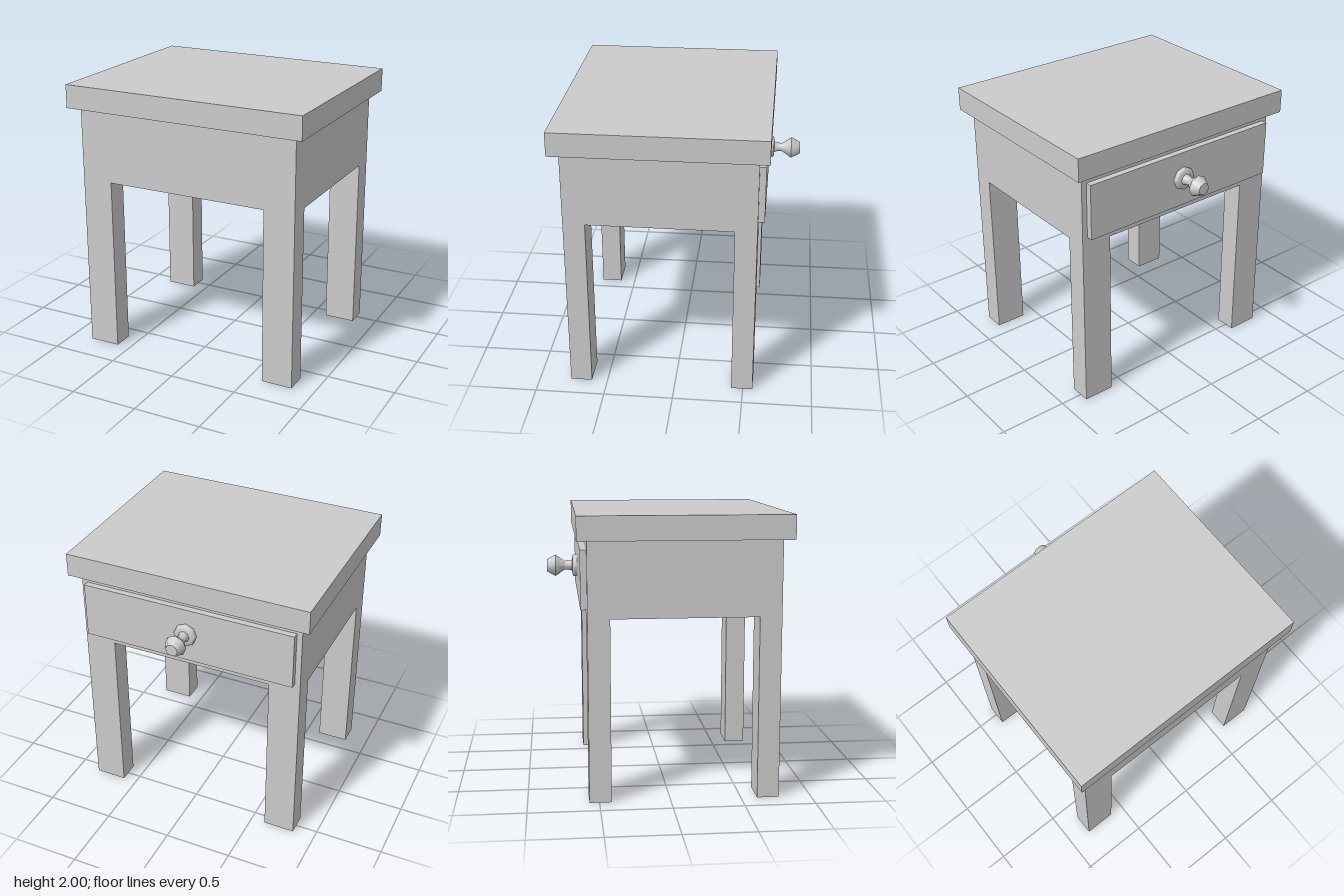
import * as THREE from 'three';
import { toCreasedNormals } from 'three/addons/utils/BufferGeometryUtils.js';

export function createModel() {
  const group = new THREE.Group();
  const material = new THREE.MeshStandardMaterial({ color: 0xcccccc });

  const add = (name, geometry) => {
    const mesh = new THREE.Mesh(geometry, material);
    mesh.name = name;
    group.add(mesh);
    return mesh;
  };
  // Box given by its lower and upper limits on each axis
  const box = (name, [x0, x1], [y0, y1], [z0, z1]) =>
    add(name, new THREE.BoxGeometry(x1 - x0, y1 - y0, z1 - z0))
      .position.set((x0 + x1) / 2, (y0 + y1) / 2, (z0 + z1) / 2);

  // Overhanging top and the case under it
  box('tableTop', [-0.905, 0.905], [1.83, 2], [-0.64, 0.84]);
  box('case', [-0.835, 0.835], [1.295, 1.83], [-0.57, 0.77]);

  // Four legs flush with the corners of the case
  for (const side of [-1, 1]) {
    const x = side < 0 ? [-0.835, -0.605] : [0.605, 0.835];
    box('frontLeg', x, [0, 1.295], [0.615, 0.77]);
    box('backLeg', x, [0, 1.295], [-0.57, -0.415]);
  }

  // Drawer panel on the back face
  box('drawerFront', [-0.795, 0.795], [1.355, 1.765], [-0.615, -0.57]);

  // Turned knob: flange, stem and faceted ball, as radius and distance from the panel
  const profile = [
    [0, 0], [0.083, 0], [0.083, 0.025], [0.07, 0.035], [0.042, 0.037],
    [0.033, 0.06], [0.033, 0.095], [0.08, 0.16], [0.045, 0.223], [0, 0.225],
  ].map(([r, d]) => new THREE.Vector2(r, d));
  const knob = add('drawerKnob', toCreasedNormals(new THREE.LatheGeometry(profile, 8), 0.9));
  knob.rotation.x = -Math.PI / 2;
  knob.position.set(0, 1.57, -0.615);

  return group;
}
